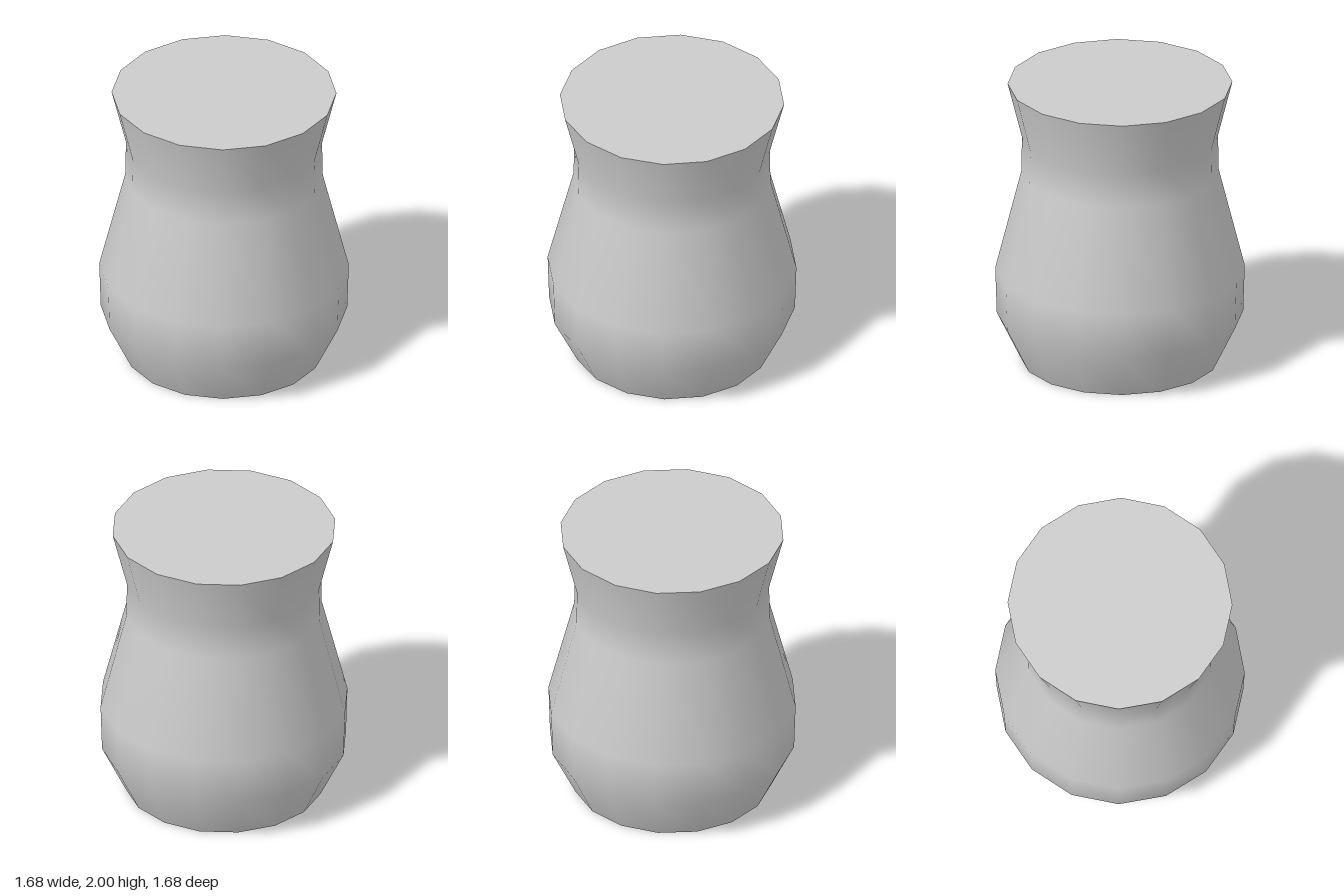
import * as THREE from 'three';

const SIDES = 16;
// Outer profile from foot to rim: radius, height
const PROFILE = [[0.67, 0], [0.83, 0.33], [0.84, 0.66], [0.665, 1.36], [0.66, 1.61], [0.757, 2]];

export function createModel() {
  const group = new THREE.Group();
  group.name = 'vase';
  const material = new THREE.MeshStandardMaterial({ color: 0xcccccc });

  // Smooth-shaded wall
  const points = PROFILE.map(([r, y]) => new THREE.Vector2(r, y));
  const body = new THREE.Mesh(new THREE.LatheGeometry(points, SIDES), material);
  body.name = 'body';
  group.add(body);

  // Flat discs closing the ends with sharp edges
  const addDisc = (name, [radius, y], facing) => {
    const disc = new THREE.Mesh(new THREE.CircleGeometry(radius, SIDES), material);
    disc.name = name;
    disc.rotation.x = -facing * Math.PI / 2;
    disc.position.y = y;
    group.add(disc);
  };
  addDisc('base', PROFILE[0], -1);
  addDisc('top', PROFILE[PROFILE.length - 1], 1);

  return group;
}
